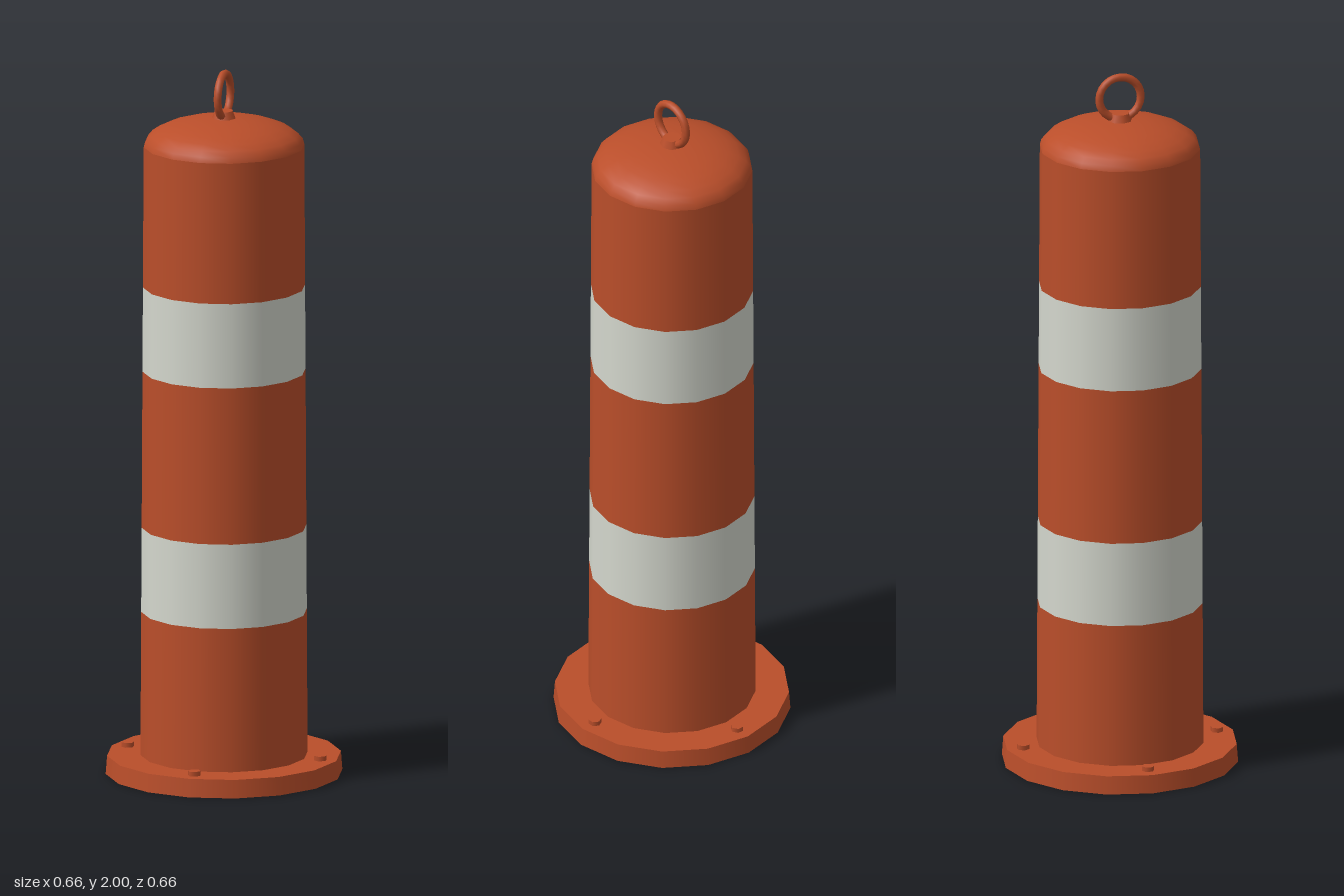
import * as THREE from 'three';

const SIDES = 16;

export function createModel() {
  const model = new THREE.Group();
  model.name = 'trafficBollard';
  const orange = new THREE.MeshStandardMaterial({ name: 'orange', color: 0xba4e2a });
  const white = new THREE.MeshStandardMaterial({ name: 'reflectiveWhite', color: 0xd4d7cd });

  const add = (name, geometry, material, x = 0, y = 0, z = 0) => {
    const mesh = new THREE.Mesh(geometry, material);
    mesh.name = name;
    mesh.position.set(x, y, z);
    model.add(mesh);
    return mesh;
  };

  // Base plate
  add('basePlate', new THREE.CylinderGeometry(0.326, 0.33, 0.052, SIDES), orange, 0, 0.026);

  // Hex bolts around the base
  for (let i = 0; i < 4; i++) {
    const a = (i * Math.PI) / 2;
    const bolt = add('baseBolt', new THREE.CylinderGeometry(0.018, 0.018, 0.02, 6), orange,
      Math.cos(a) * 0.28, 0.055, -Math.sin(a) * 0.28);
    bolt.rotation.y = a;
  }

  // Tapered post, split into alternating bands
  const bottom = 0.052, top = 1.785;
  const radiusAt = (y) => THREE.MathUtils.mapLinear(y, bottom, top, 0.233, 0.224);
  const levels = [bottom, 0.46, 0.7, 1.145, 1.385, top];
  for (let i = 0; i < levels.length - 1; i++) {
    const [y0, y1] = [levels[i], levels[i + 1]];
    const striped = i % 2 === 1;
    add(striped ? 'reflectiveBand' : 'postSection',
      new THREE.CylinderGeometry(radiusAt(y1), radiusAt(y0), y1 - y0, SIDES, 1, true),
      striped ? white : orange, 0, (y0 + y1) / 2);
  }

  // Shallow domed cap
  const domeProfile = [];
  for (let i = 0; i <= 8; i++) {
    const a = (i / 8) * Math.PI / 2;
    domeProfile.push(new THREE.Vector2(i === 8 ? 0 : 0.224 * Math.cos(a), 0.08 * Math.sin(a)));
  }
  add('domeCap', new THREE.LatheGeometry(domeProfile, SIDES), orange, 0, top);

  // Lifting eye and its collar
  add('eyeCollar', new THREE.CylinderGeometry(0.026, 0.037, 0.03, 8), orange, 0, 1.87);
  const eye = add('liftingEye', new THREE.TorusGeometry(0.06, 0.0115, 8, 24), orange, 0, 1.9285);
  eye.rotation.y = Math.PI / 2;

  return model;
}
